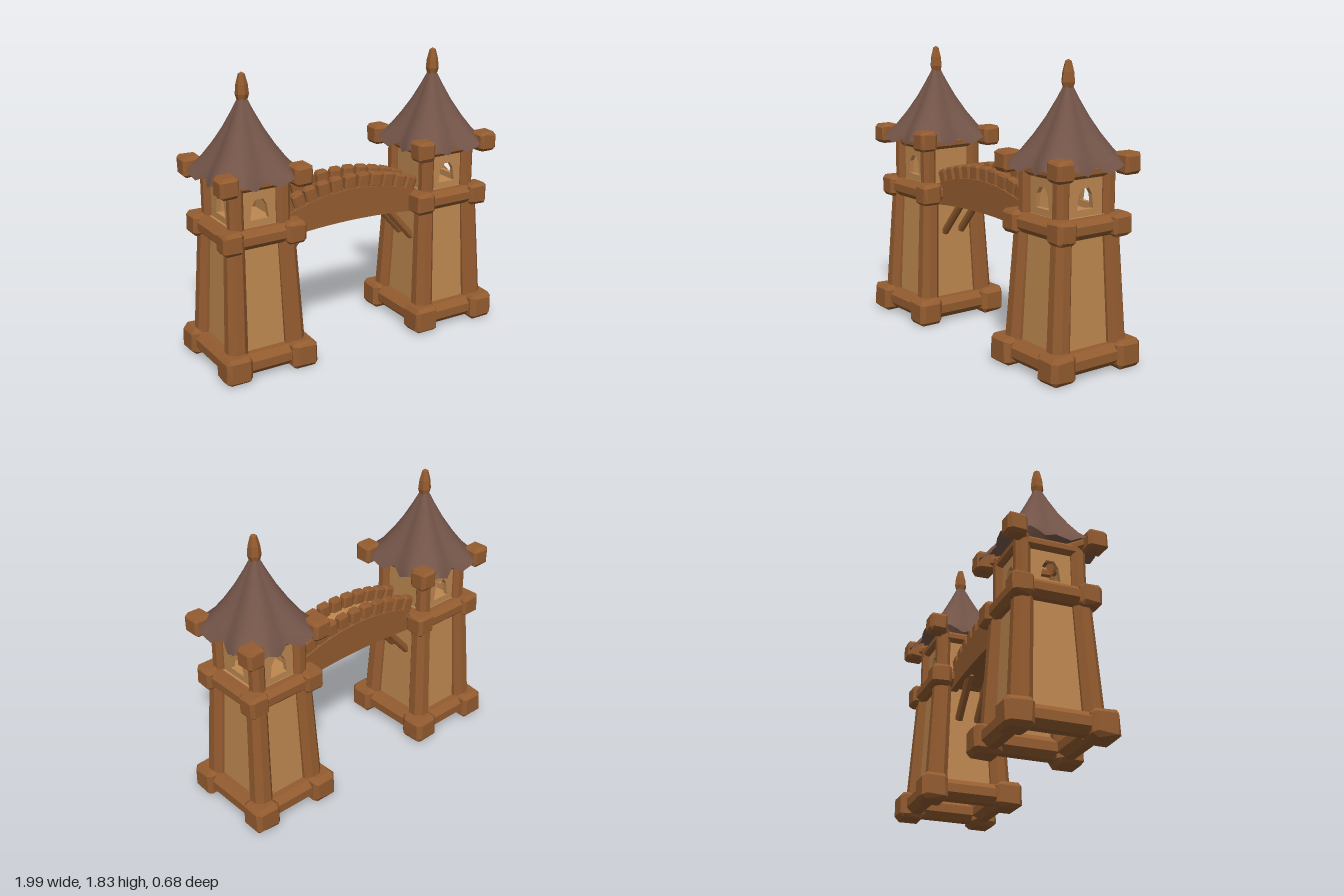
import * as THREE from 'three';
import { ConvexGeometry } from 'three/addons/geometries/ConvexGeometry.js';

const mat = (name, color, double) => {
  const m = new THREE.MeshStandardMaterial({ color });
  m.name = name;
  if (double) m.side = THREE.DoubleSide;
  return m;
};
const wood = mat('brown wood', 0x945c30);
const plaster = mat('tan planks', 0xbe8850, true);
const tiles = mat('roof brown', 0x735448, true);

let seed = 7;
const rand = () => (seed = (seed * 16807) % 2147483647) / 2147483647;

const flat = (geo) => {
  const g = geo.index ? geo.toNonIndexed() : geo;
  g.computeVertexNormals();
  return g;
};

function add(parent, name, geo, material, x = 0, y = 0, z = 0) {
  const m = new THREE.Mesh(geo, material);
  m.name = name;
  m.position.set(x, y, z);
  parent.add(m);
  return m;
}

// Eight-sided log running from a to b
function log(parent, name, a, b, ra, rb = ra) {
  const p = new THREE.Vector3(...a), q = new THREE.Vector3(...b);
  const geo = new THREE.CylinderGeometry(rb, ra, p.distanceTo(q), 8);
  geo.rotateY(Math.PI / 8);
  const m = add(parent, name, flat(geo), wood);
  m.position.copy(p).add(q).multiplyScalar(0.5);
  m.quaternion.setFromUnitVectors(new THREE.Vector3(0, 1, 0), q.sub(p).normalize());
  return m;
}

// Chunky block with all edges cut off, slightly uneven
function knob(parent, name, x, y, z, hx, hy = hx, hz = hx) {
  const pts = [];
  for (const sx of [-1, 1]) for (const sy of [-1, 1]) for (const sz of [-1, 1])
    for (let k = 0; k < 3; k++) {
      const c = [0, 1, 2].map((i) => (i === k ? 1 : 0.6 + 0.18 * rand()));
      pts.push(new THREE.Vector3(sx * c[0] * hx, sy * c[1] * hy, sz * c[2] * hz));
    }
  return add(parent, name, new ConvexGeometry(pts), wood, x, y, z);
}

const corners = [[1, 1], [1, -1], [-1, -1], [-1, 1]];

// Square ring of four logs
function logRing(parent, name, hx, y, hz, r) {
  corners.forEach(([sx, sz], i) => {
    const [tx, tz] = corners[(i + 1) % 4];
    log(parent, name, [sx * hx, y, sz * hz], [tx * hx, y, tz * hz], r);
  });
}

// Room wall, with or without an arched window
function wallGeometry(halfWidth, open) {
  const s = new THREE.Shape();
  s.moveTo(-halfWidth, 0.92).lineTo(halfWidth, 0.92).lineTo(halfWidth, 1.24).lineTo(-halfWidth, 1.24);
  if (open) {
    const h = new THREE.Path();
    h.moveTo(-0.062, 0.98).lineTo(-0.05, 1.065).lineTo(-0.025, 1.105).lineTo(0.025, 1.105)
      .lineTo(0.05, 1.065).lineTo(0.062, 0.98);
    s.holes.push(h);
  }
  return new THREE.ExtrudeGeometry(s, { depth: 0.03, bevelEnabled: false });
}

// Swept four-cornered roof with a scalloped eave
function roofGeometry() {
  const profile = [[1.69, 0.018], [1.6, 0.056], [1.5, 0.1], [1.4, 0.15], [1.31, 0.2], [1.26, 0.232], [1.215, 0.252]];
  const n = 48, pos = [], idx = [];
  profile.forEach(([y, w], j) => {
    const t = j / (profile.length - 1);
    for (let i = 0; i < n; i++) {
      const a = (i / n) * Math.PI * 2;
      const r = w * (1 + (0.14 + 0.26 * t) * Math.pow(Math.abs(Math.sin(2 * a)), 1.3));
      const wave = t ** 5 * 0.02 * Math.cos(12 * a);
      pos.push(Math.cos(a) * r, y + wave, Math.sin(a) * r * 1.07);
      if (j) {
        const k = (i + 1) % n, u = (j - 1) * n, d = j * n;
        idx.push(u + i, u + k, d + i, u + k, d + k, d + i);
      }
    }
  });
  const g = new THREE.BufferGeometry();
  g.setAttribute('position', new THREE.Float32BufferAttribute(pos, 3));
  g.setIndex(idx);
  g.computeVertexNormals();
  return g;
}

function createTower() {
  const t = new THREE.Group();
  t.name = 'tower';

  // Foot, hollow underneath
  logRing(t, 'baseLog', 0.22, 0.095, 0.235, 0.073);
  // Leaning lower walls
  const walls = new THREE.CylinderGeometry(0.178 * Math.SQRT2, 0.208 * Math.SQRT2, 0.8, 4, 1, true);
  walls.rotateY(Math.PI / 4);
  add(t, 'lowerWalls', flat(walls), plaster, 0, 0.49, 0).scale.z = 1.08;
  // Middle and upper beams
  logRing(t, 'middleLog', 0.195, 0.88, 0.2, 0.064);
  logRing(t, 'topBeam', 0.16, 1.2, 0.18, 0.04);
  add(t, 'roomFloor', new THREE.BoxGeometry(0.36, 0.03, 0.38), plaster, 0, 0.925, 0);

  for (const [sx, sz] of corners) {
    knob(t, 'baseKnob', sx * 0.225, 0.092, sz * 0.252, 0.087);
    log(t, 'lowerPost', [sx * 0.198, 0.1, sz * 0.218], [sx * 0.17, 0.86, sz * 0.18], 0.072, 0.063);
    knob(t, 'middleKnob', sx * 0.208, 0.88, sz * 0.21, 0.068, 0.07);
    log(t, 'roomPost', [sx * 0.155, 0.9, sz * 0.175], [sx * 0.155, 1.24, sz * 0.175], 0.05);
    log(t, 'eaveBeam', [sx * 0.12, 1.225, sz * 0.13], [sx * 0.24, 1.24, sz * 0.25], 0.04);
    knob(t, 'eaveKnob', sx * 0.242, 1.24, sz * 0.252, 0.062, 0.064);
  }

  // Room walls; the one facing the bridge (-x) is closed
  add(t, 'frontWall', wallGeometry(0.155, true), plaster, 0, 0, 0.155);
  add(t, 'backWall', wallGeometry(0.155, true), plaster, 0, 0, -0.185);
  add(t, 'outerWall', wallGeometry(0.175, true), plaster, 0.135).rotation.y = Math.PI / 2;
  add(t, 'innerWall', wallGeometry(0.175, false), plaster, -0.165).rotation.y = Math.PI / 2;

  add(t, 'roof', roofGeometry(), tiles);
  const spire = [[0, 1.64], [0.03, 1.66], [0.042, 1.7], [0.036, 1.76], [0.02, 1.82], [0, 1.832]];
  add(t, 'spire', flat(new THREE.LatheGeometry(spire.map((p) => new THREE.Vector2(...p)), 6)), wood);
  return t;
}

// Arched slab between two z values; top and bottom are heights at mid-span
function archGeometry(bottom, top, z0, z1) {
  const upper = [], lower = [];
  for (let i = 0; i <= 12; i++) {
    const x = -0.5 + i / 12;
    lower.push(new THREE.Vector2(x, bottom - 0.12 * x * x));
    upper.unshift(new THREE.Vector2(x, top - 0.4 * x * x));
  }
  const g = new THREE.ExtrudeGeometry(new THREE.Shape([...lower, ...upper]), { depth: z1 - z0, bevelEnabled: false });
  return g.translate(0, 0, z0);
}

function createBridge() {
  const b = new THREE.Group();
  b.name = 'bridge';
  add(b, 'bridgeCore', archGeometry(0.855, 1.02, -0.08, 0.08), wood);

  // Walkway following the arch
  const deck = new THREE.PlaneGeometry(1, 0.2, 12, 1).rotateX(-Math.PI / 2);
  const p = deck.attributes.position;
  for (let i = 0; i < p.count; i++) p.setY(i, 1.034 - 0.4 * p.getX(i) ** 2);
  deck.computeVertexNormals();
  add(b, 'walkway', deck, plaster);

  for (const s of [-1, 1]) {
    add(b, 'sideBeam', archGeometry(0.825, 1.03, s > 0 ? 0.08 : -0.125, s > 0 ? 0.125 : -0.08), wood);
    // Battlements
    for (let i = -5; i <= 5; i++) {
      const x = i * 0.099 - Math.sign(i) * 0.0016 * i * i;
      knob(b, 'battlement', x, 1.065 - 0.4 * x * x, s * 0.088, 0.041, 0.054, 0.027)
        .rotation.z = Math.atan(-0.8 * x);
    }
    // Diagonal braces under both ends
    for (const e of [-1, 1])
      log(b, 'brace', [e * 0.5, 0.6, s * 0.065], [e * 0.29, 0.84, s * 0.065], 0.026);
  }
  return b;
}

export function createModel() {
  const model = new THREE.Group();
  model.name = 'twinTowerBridge';
  for (const s of [1, -1]) {
    const tower = createTower();
    tower.name = s > 0 ? 'leftTower' : 'rightTower';
    tower.position.x = s * 0.685;
    if (s < 0) tower.rotation.y = Math.PI;
    model.add(tower);
  }
  model.add(createBridge());
  return model;
}
